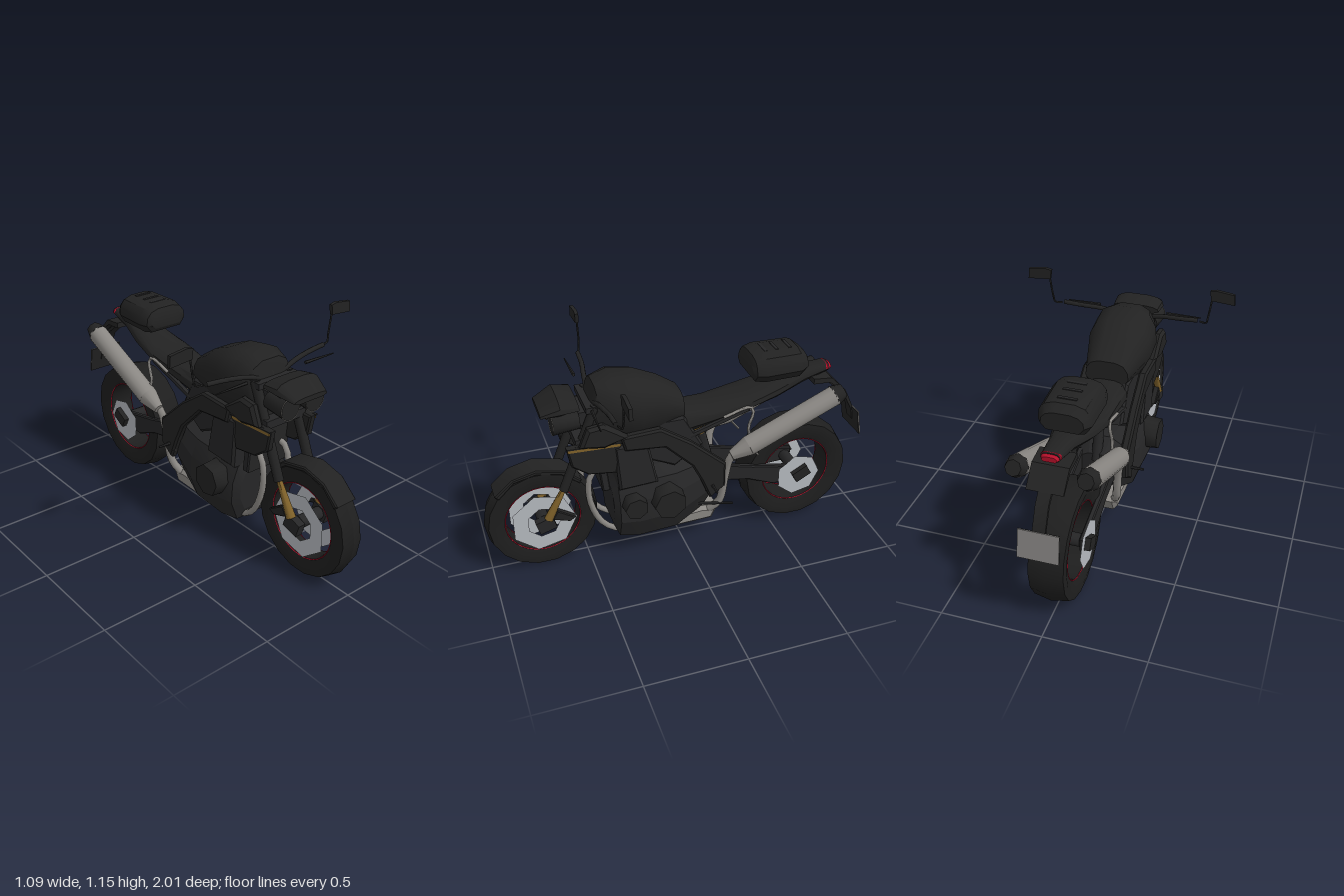
import * as THREE from 'three';
import { toCreasedNormals } from 'three/addons/utils/BufferGeometryUtils.js';

const mat = (name, color, side = THREE.FrontSide) => {
  const m = new THREE.MeshStandardMaterial({ color, side });
  m.name = name;
  return m;
};

export function createModel() {
  const root = new THREE.Group();
  root.name = 'motorcycle';
  const black = mat('black bodywork', 0x222222);
  const rubber = mat('tyre rubber', 0x1e1e1e);
  const dark = mat('dark metal', 0x262627);
  const steel = mat('exhaust steel', 0x8a8783);
  const silver = mat('brake silver', 0xb6bac0, THREE.DoubleSide);
  const gold = mat('gold anodised', 0x80622a);
  const red = mat('red accent', 0xb5102a);
  const plateGrey = mat('plate grey', 0x858381);

  const V = (p) => new THREE.Vector3(...p);
  const add = (name, geo, m, pos = [0, 0, 0], crease = 0.6) => {
    const mesh = new THREE.Mesh(crease ? toCreasedNormals(geo, crease) : geo, m);
    mesh.name = name;
    mesh.position.set(...pos);
    root.add(mesh);
    return mesh;
  };
  const box = (name, m, size, pos, rx = 0) => {
    const b = add(name, new THREE.BoxGeometry(...size), m, pos);
    b.rotation.x = rx;
    return b;
  };
  // round bar between two points
  const bar = (name, m, a, b, r1, r2 = r1, sides = 8) => {
    const A = V(a), B = V(b), d = B.clone().sub(A);
    const mesh = add(name, new THREE.CylinderGeometry(r2, r1, d.length(), sides), m, A.clone().add(B).multiplyScalar(0.5).toArray(), 0.9);
    mesh.quaternion.setFromUnitVectors(new THREE.Vector3(0, 1, 0), d.normalize());
    return mesh;
  };
  const tube = (name, m, pts, r) =>
    add(name, new THREE.TubeGeometry(new THREE.CatmullRomCurve3(pts.map(V)), 14, r, 8), m, [0, 0, 0], 1);
  // side profile of [z, y] points, extruded across the bike
  const slab = (name, m, pts, width, x = 0, bevel = 0.012) => {
    const s = new THREE.Shape(pts.map((p) => new THREE.Vector2(...p)));
    const g = new THREE.ExtrudeGeometry(s, {
      depth: width - 2 * bevel, bevelEnabled: bevel > 0, bevelSegments: 1,
      bevelThickness: bevel, bevelSize: bevel, bevelOffset: -bevel,
    });
    g.translate(0, 0, -(width - 2 * bevel) / 2);
    g.rotateY(-Math.PI / 2);
    return add(name, g, m, [x, 0, 0]);
  };
  // skin over rows of [z, halfWidth, yBottom, yTop], back to front
  const half = [[0.75, -1], [1, -0.35], [0.95, 0.3], [0.75, 0.78], [0.38, 1]];
  const ringShape = [...half, ...half.map(([x, y]) => [-x, y]).reverse()];
  const loft = (name, m, rows, crease = 0.6) => {
    const n = ringShape.length, pos = [], idx = [];
    for (const [z, w, lo, hi] of rows)
      for (const [u, v] of ringShape) pos.push(u * w, (lo + hi) / 2 + (v * (hi - lo)) / 2, z);
    for (let i = 0; i < rows.length - 1; i++)
      for (let j = 0; j < n; j++) {
        const a = i * n + j, b = i * n + ((j + 1) % n);
        idx.push(a, b, b + n, a, b + n, a + n);
      }
    const f = (rows.length - 1) * n;
    for (let j = 1; j < n - 1; j++) idx.push(0, j + 1, j, f, f + j, f + j + 1);
    const g = new THREE.BufferGeometry();
    g.setAttribute('position', new THREE.Float32BufferAttribute(pos, 3));
    g.setIndex(idx);
    return add(name, g, m, [0, 0, 0], crease);
  };

  // wheels: open tyre ring, hub, red rim stripes and brake discs
  const wheel = (name, z, y, R, w, discR, holeR, discX) => {
    const prof = [[0.19, -w * 0.8], [R - 0.05, -w], [R - 0.015, -w * 0.95], [R, 0],
      [R - 0.015, w * 0.95], [R - 0.05, w], [0.19, w * 0.8], [0.19, -w * 0.8]];
    const tyre = new THREE.LatheGeometry(prof.map((p) => new THREE.Vector2(...p)), 18);
    tyre.rotateZ(Math.PI / 2);
    add(name + 'Tyre', tyre, rubber, [0, y, z], 0.5);
    bar(name + 'Hub', dark, [-discX, y, z], [discX, y, z], 0.032);
    for (const s of [1, -1]) {
      add(name + 'RimStripe', new THREE.TorusGeometry(0.19, 0.003, 4, 36).rotateY(Math.PI / 2), red, [s * w * 0.8, y, z]);
      add(name + 'BrakeDisc', new THREE.RingGeometry(holeR, discR, 7).rotateY(Math.PI / 2), silver, [s * discX, y - 0.01, z], 0);
    }
  };
  wheel('front', 0.725, 0.292, 0.288, 0.06, 0.168, 0.085, 0.066);
  wheel('rear', -0.64, 0.303, 0.298, 0.088, 0.122, 0.03, 0.108);

  // front mudguard
  slab('frontMudguard', black, [[0.95, 0.48], [0.86, 0.56], [0.74, 0.59], [0.6, 0.56], [0.52, 0.49],
    [0.53, 0.47], [0.62, 0.54], [0.74, 0.565], [0.85, 0.54], [0.93, 0.46]], 0.124, 0, 0.006);

  // tank, seat, tail and luggage
  loft('fuelTank', black, [[0, 0.11, 0.76, 0.89], [0.1, 0.135, 0.75, 0.955], [0.22, 0.165, 0.74, 1.005],
    [0.34, 0.165, 0.76, 1.025], [0.43, 0.135, 0.76, 1.0], [0.5, 0.115, 0.74, 0.8]], 0.8);
  loft('seat', black, [[-0.8, 0.045, 0.86, 0.9], [-0.66, 0.06, 0.825, 0.89], [-0.5, 0.1, 0.78, 0.86],
    [-0.35, 0.12, 0.75, 0.82], [-0.15, 0.11, 0.7, 0.79], [0.02, 0.11, 0.66, 0.79]]);
  loft('seatBag', black, [[-0.65, 0.1, 0.91, 1.0], [-0.61, 0.125, 0.89, 1.03], [-0.42, 0.13, 0.89, 1.033],
    [-0.37, 0.12, 0.9, 1.02], [-0.355, 0.1, 0.92, 0.99]]);
  for (const z of [-0.44, -0.5, -0.57]) box('bagStrap', dark, [0.09, 0.008, 0.015], [0, 1.031, z]);
  loft('tailLight', red, [[-0.815, 0.035, 0.865, 0.89], [-0.79, 0.048, 0.86, 0.9], [-0.775, 0.045, 0.865, 0.895]]);
  slab('rearMudguard', black, [[-0.7, 0.85], [-0.8, 0.84], [-0.885, 0.755], [-0.875, 0.75], [-0.79, 0.815], [-0.7, 0.82]], 0.17, 0, 0);
  slab('plateArm', black, [[-0.8, 0.83], [-0.92, 0.715], [-0.975, 0.6], [-0.985, 0.53], [-0.975, 0.53],
    [-0.96, 0.6], [-0.905, 0.705], [-0.79, 0.8]], 0.06, 0, 0);
  box('numberPlate', plateGrey, [0.19, 0.14, 0.005], [0, 0.54, -0.985], 0.17);
  box('plateBacking', black, [0.19, 0.14, 0.004], [0, 0.539, -0.98], 0.17);

  // headlamps and visor
  loft('visor', black, [[0.52, 0.125, 0.91, 0.95], [0.61, 0.13, 0.895, 0.97], [0.7, 0.1, 0.89, 0.915]]);
  box('lampBracket', dark, [0.16, 0.07, 0.1], [0, 0.85, 0.52]);
  for (const s of [1, -1]) {
    bar('headlamp', black, [s * 0.075, 0.85, 0.52], [s * 0.075, 0.85, 0.65], 0.045, 0.057, 12);
    add('headlampRim', new THREE.TorusGeometry(0.056, 0.002, 4, 24), steel, [s * 0.075, 0.85, 0.651]);
  }
  box('topYoke', dark, [0.24, 0.03, 0.07], [0, 0.91, 0.455]);
  box('bottomYoke', dark, [0.24, 0.04, 0.08], [0, 0.74, 0.51]);
  bar('steeringStem', dark, [0, 0.7, 0.5], [0, 0.94, 0.42], 0.03);

  // engine block and frame centre
  loft('crankcase', dark, [[-0.18, 0.1, 0.3, 0.46], [-0.1, 0.14, 0.22, 0.52], [0.05, 0.172, 0.14, 0.51],
    [0.25, 0.175, 0.13, 0.5], [0.35, 0.155, 0.14, 0.47], [0.375, 0.12, 0.2, 0.42]], 0.3);
  slab('cylinderBlock', dark, [[0.35, 0.44], [0.37, 0.7], [0.2, 0.7], [0.15, 0.45]], 0.3);
  slab('airbox', dark, [[0.4, 0.62], [0.38, 0.78], [0, 0.78], [-0.1, 0.6], [0.05, 0.5], [0.22, 0.58]], 0.22);
  slab('radiator', dark, [[0.43, 0.44], [0.46, 0.72], [0.42, 0.72], [0.39, 0.44]], 0.25, 0, 0.006);
  slab('bellyPan', steel, [[0.22, 0.13], [0.16, 0.1], [-0.16, 0.11], [-0.19, 0.18], [-0.1, 0.2], [0.2, 0.17]], 0.21, 0, 0.02);
  bar('rearShock', gold, [0, 0.61, -0.12], [0, 0.71, -0.09], 0.032, 0.03, 10);
  bar('shockSpring', dark, [0, 0.42, -0.17], [0, 0.61, -0.12], 0.026, 0.026, 10);

  for (const s of [1, -1]) {
    // fork legs, sliders and calipers
    bar('forkTube', black, [s * 0.1, 0.48, 0.62], [s * 0.1, 0.92, 0.44], 0.024, 0.026);
    bar('forkSlider', gold, [s * 0.095, 0.32, 0.705], [s * 0.1, 0.51, 0.607], 0.023, 0.012);
    box('axleClamp', dark, [0.04, 0.07, 0.09], [s * 0.09, 0.29, 0.72], 0.3);
    slab('brakeCaliper', black, [[0.66, 0.37], [0.57, 0.31], [0.6, 0.29], [0.69, 0.32]], 0.035, s * 0.095, 0.005);

    // handlebar, lever and mirror
    tube('handlebar', black, [[s * 0.08, 0.93, 0.44], [s * 0.16, 0.95, 0.43], [s * 0.26, 0.96, 0.415], [s * 0.36, 0.967, 0.41]], 0.012);
    bar('lever', black, [s * 0.18, 0.945, 0.475], [s * 0.36, 0.945, 0.48], 0.009, 0.003, 5);
    tube('mirrorStem', black, [[s * 0.37, 0.965, 0.405], [s * 0.405, 0.968, 0.395], [s * 0.413, 1.0, 0.39], [s * 0.43, 1.11, 0.39]], 0.005);
    const m = new THREE.Shape([[0.425, 1.1], [0.545, 1.09], [0.54, 1.145], [0.45, 1.157], [0.418, 1.15]]
      .map(([x, y]) => new THREE.Vector2(s * x, y)));
    add('mirror', new THREE.ExtrudeGeometry(m, { depth: 0.018, bevelEnabled: false }), black, [0, 0, 0.382]);

    // side scoops with gold trim tucked under the upper edge
    slab('radiatorShroud', black, [[0.6, 0.735], [0.58, 0.63], [0.5, 0.57], [0.36, 0.55], [0.33, 0.72], [0.4, 0.74]], 0.04, s * 0.125, 0.008);
    box('shroudTrim', gold, [0.006, 0.014, 0.26], [s * 0.145, 0.717, 0.465], -0.04);
    box('shroudLip', black, [0.014, 0.006, 0.27], [s * 0.144, 0.729, 0.465], -0.04);
    slab('tankCowl', black, [[0.5, 0.84], [0.54, 0.74], [0.42, 0.72], [0.3, 0.76], [0.42, 0.85]], 0.05, s * 0.15, 0.015);

    // frame beams and swingarm
    slab('frameBeam', black, [[0.34, 0.76], [0.14, 0.77], [-0.02, 0.66], [-0.2, 0.5], [-0.2, 0.36], [-0.12, 0.3],
      [-0.07, 0.42], [-0.02, 0.52], [0.12, 0.66], [0.32, 0.68]], 0.045, s * 0.147, 0.01);
    slab('swingarm', dark, [[-0.15, 0.46], [-0.38, 0.4], [-0.68, 0.34], [-0.68, 0.27], [-0.5, 0.26], [-0.36, 0.32], [-0.15, 0.36]], 0.03, s * 0.09, 0.006);
    box('axleBlock', black, [0.03, 0.06, 0.09], [s * 0.12, 0.31, -0.65], 0.5);
    bar('subframeRail', dark, [s * 0.1, 0.66, -0.03], [s * 0.1, 0.76, -0.34], 0.014);
    tube('grabRail', steel, [[s * 0.115, 0.74, -0.2], [s * 0.12, 0.775, -0.34], [s * 0.125, 0.75, -0.355], [s * 0.13, 0.66, -0.33], [s * 0.13, 0.58, -0.35]], 0.008);
    bar('silencerHanger', steel, [s * 0.15, 0.6, -0.3], [s * 0.13, 0.49, -0.39], 0.006, 0.006, 5);

    // engine covers
    const pods = s > 0 ? [[0.11, 0.35, 0.09], [0.28, 0.35, 0.065]] : [[0.235, 0.35, 0.09]];
    for (const [z, y, r] of pods) bar('engineCover', black, [s * 0.14, y, z], [s * (r > 0.08 ? 0.224 : 0.205), y, z], r, r * 0.92, 7);

    // exhaust headers, link pipe and silencer
    tube('exhaustHeader', steel, [[s * 0.075, 0.56, 0.42], [s * 0.08, 0.53, 0.475], [s * 0.08, 0.38, 0.49],
      [s * 0.08, 0.22, 0.43], [s * 0.075, 0.15, 0.33], [s * 0.07, 0.14, 0.18]], 0.016);
    tube('linkPipe', steel, [[s * 0.08, 0.16, -0.13], [s * 0.11, 0.23, -0.19], [s * 0.125, 0.4, -0.215], [s * 0.145, 0.52, -0.235], [s * 0.158, 0.57, -0.29]], 0.021);
    bar('silencerCone', steel, [s * 0.158, 0.535, -0.23], [s * 0.16, 0.575, -0.32], 0.026, 0.052, 14);
    bar('silencer', steel, [s * 0.16, 0.575, -0.32], [s * 0.163, 0.785, -0.78], 0.052, 0.052, 14);
    bar('silencerTip', black, [s * 0.163, 0.783, -0.775], [s * 0.163, 0.805, -0.825], 0.055, 0.038, 8);

    // rider footrest
    slab('footrestPlate', dark, [[-0.08, 0.46], [-0.2, 0.44], [-0.18, 0.36], [-0.1, 0.34]], 0.02, s * 0.155, 0.004);
    bar('footrest', dark, [s * 0.15, 0.38, -0.13], [s * 0.235, 0.38, -0.13], 0.009, 0.006, 6);
  }
  bar('sideStand', dark, [0.12, 0.25, -0.06], [0.13, 0.21, -0.26], 0.01, 0.006, 6);

  return root;
}
